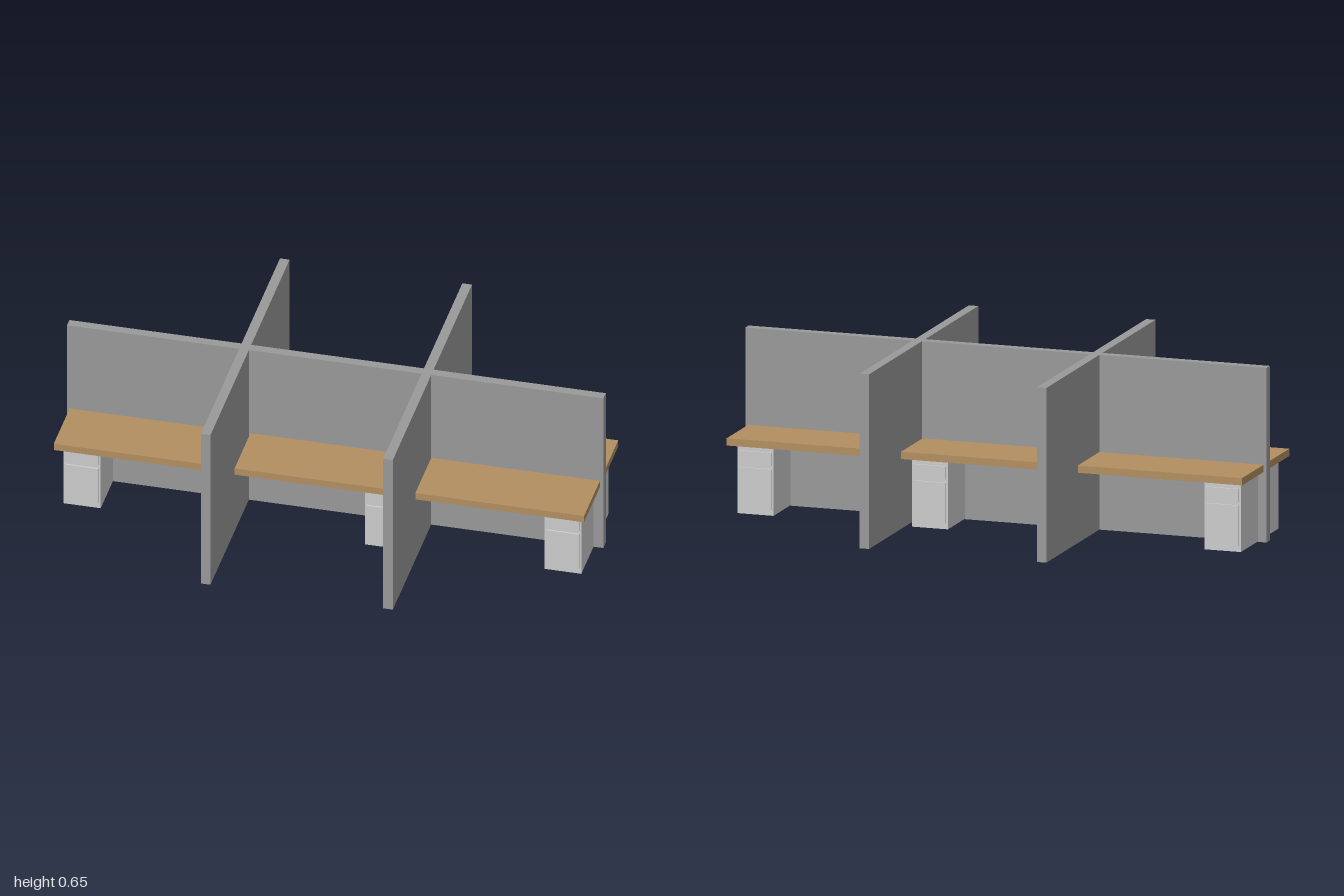
import * as THREE from 'three';

const panelGrey = new THREE.MeshStandardMaterial({ name: 'panelGrey', color: 0x999999 });
const deskWood = new THREE.MeshStandardMaterial({ name: 'deskWood', color: 0xb28f61 });
const cabinetGrey = new THREE.MeshStandardMaterial({ name: 'cabinetGrey', color: 0xcccccc });

// Box given by its limits on each axis
function box(name, material, [x0, x1], [y0, y1], [z0, z1]) {
  const mesh = new THREE.Mesh(new THREE.BoxGeometry(x1 - x0, y1 - y0, Math.abs(z1 - z0)), material);
  mesh.position.set((x0 + x1) / 2, (y0 + y1) / 2, (z0 + z1) / 2);
  mesh.name = name;
  return mesh;
}

// Drawer pedestal; side is +1 for the front row, -1 for the back row
function createCabinet(x0, x1, side) {
  const cabinet = new THREE.Group();
  cabinet.name = 'cabinet';
  const face = [side * 0.204, side * 0.212];
  const drawerX = [x0 + 0.007, x1 - 0.007];
  cabinet.add(
    box('cabinetBody', cabinetGrey, [x0, x1], [0.002, 0.261], [side * 0.019, side * 0.205]),
    box('topDrawer', cabinetGrey, drawerX, [0.188, 0.236], face),
    box('fileDrawer', cabinetGrey, drawerX, [0.025, 0.175], face)
  );
  return cabinet;
}

export function createModel() {
  const model = new THREE.Group();
  model.name = 'cubicleDesks';
  const height = 0.648;

  // Long spine and two crossing dividers
  model.add(box('spinePanel', panelGrey, [-1, 1], [0, height], [-0.018, 0.018]));
  for (const x of [-0.34, 0.34]) {
    for (const side of [1, -1]) {
      model.add(box('dividerPanel', panelGrey, [x - 0.018, x + 0.018], [0, height], [side * 0.018, side * 0.595]));
    }
  }

  // Three bays on each side of the spine: desk span and cabinet span
  const bays = [
    { desk: [-0.99, -0.36], cabinet: [-0.967, -0.828] },
    { desk: [-0.316, 0.318], cabinet: [0.157, 0.295] },
    { desk: [0.358, 0.987], cabinet: [0.826, 0.964] }
  ];
  for (const side of [1, -1]) {
    const inner = side > 0 ? 0.018 : 0.023;
    for (const bay of bays) {
      model.add(box('deskTop', deskWood, bay.desk, [0.262, 0.289], [side * inner, side * 0.257]));
      model.add(createCabinet(...bay.cabinet, side));
    }
  }
  return model;
}
